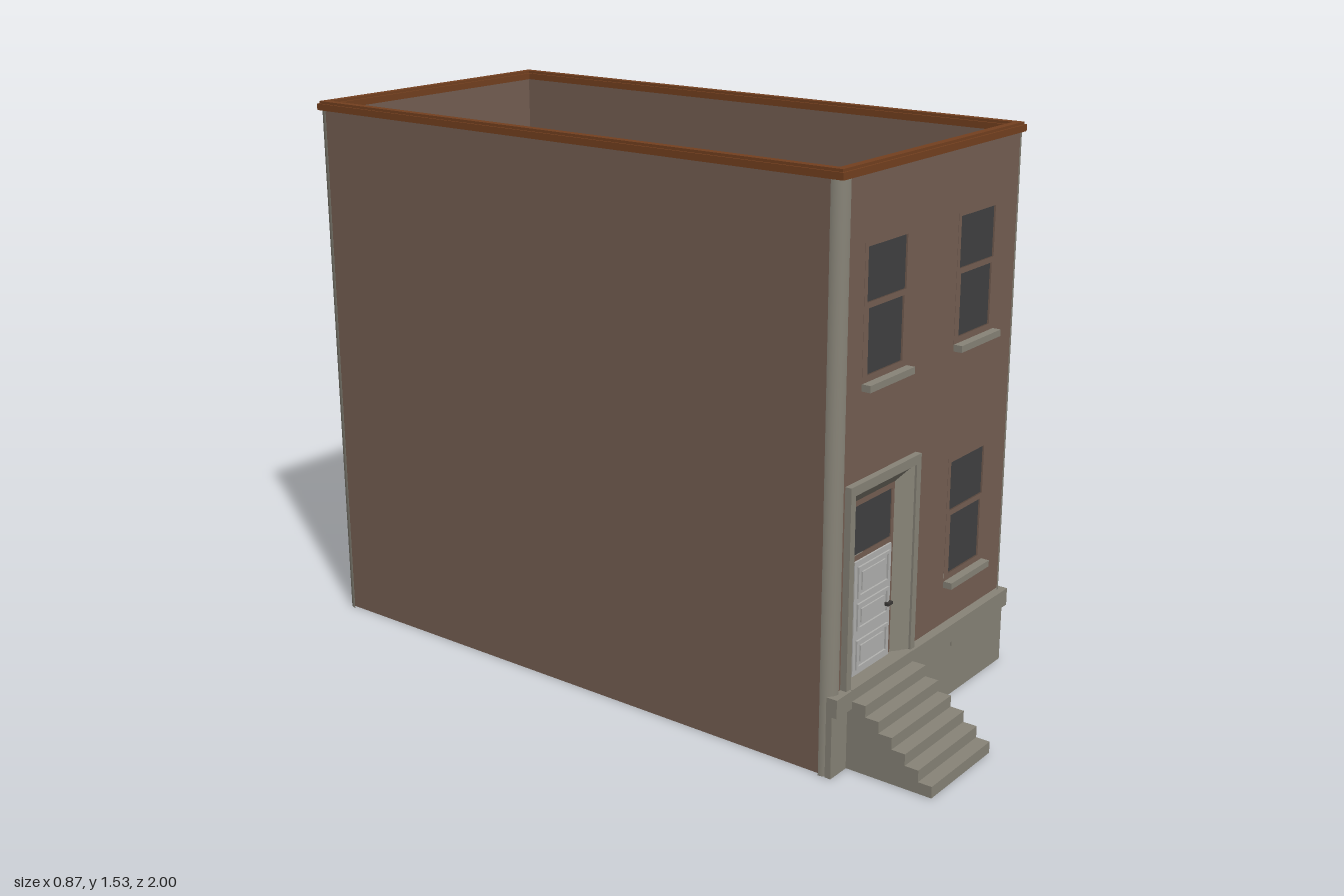
import * as THREE from 'three';

const mat = (name, color, side = THREE.FrontSide) => {
  const m = new THREE.MeshStandardMaterial({ color, side });
  m.name = name;
  return m;
};

export function createModel() {
  const brick = mat('brown wall', 0x755f53, THREE.DoubleSide);
  const frameBrown = mat('window frame brown', 0x755f53);
  const stone = mat('grey stone', 0x888478, THREE.DoubleSide);
  const wood = mat('red brown trim', 0x74401f);
  const glass = mat('dark glass', 0x404142, THREE.DoubleSide);
  const doorGrey = mat('light grey door', 0xb2b2b0);
  const metal = mat('dark metal', 0x3a3836);

  const house = new THREE.Group();
  house.name = 'townhouse';
  const F = 0.74, B = -0.99, W = 0.427, H = 1.515, BASE = 0.22;
  const depth = F - B, midZ = (F + B) / 2;

  const add = (name, geometry, material, x = 0, y = 0, z = 0) => {
    const m = new THREE.Mesh(geometry, material);
    m.name = name;
    m.position.set(x, y, z);
    house.add(m);
    return m;
  };
  const rect = (Type, x0, y0, x1, y1) => {
    const s = new Type();
    s.moveTo(x0, y0);
    s.lineTo(x1, y0);
    s.lineTo(x1, y1);
    s.lineTo(x0, y1);
    s.closePath();
    return s;
  };
  // box given by its min and max corners
  const block = (name, material, x0, y0, z0, x1, y1, z1) =>
    add(name, new THREE.BoxGeometry(x1 - x0, y1 - y0, z1 - z0), material,
      (x0 + x1) / 2, (y0 + y1) / 2, (z0 + z1) / 2);

  // window centres and sill heights
  const windows = [[-0.22, 0.98], [0.216, 0.98], [0.216, 0.325]];
  const doorX = -0.218;

  // front wall with window and door openings
  const front = rect(THREE.Shape, -W, BASE - 0.01, W, H);
  for (const [x, y] of windows)
    front.holes.push(rect(THREE.Path, x - 0.1, y + 0.015, x + 0.1, y + 0.362));
  front.holes.push(rect(THREE.Path, doorX - 0.142, BASE, doorX + 0.142, 0.73));
  add('frontWall', new THREE.ShapeGeometry(front), brick, 0, 0, F);

  // plain back and side walls, raised floor
  add('backWall', new THREE.PlaneGeometry(W * 2, H), brick, 0, H / 2, B).rotation.y = Math.PI;
  for (const s of [-1, 1])
    add('sideWall', new THREE.PlaneGeometry(depth, H), brick, s * W, H / 2, midZ).rotation.y = s * Math.PI / 2;
  add('floor', new THREE.PlaneGeometry(W * 2, depth), stone, 0, BASE - 0.004, midZ).rotation.x = -Math.PI / 2;

  // rounded corner posts
  const corners = [[1, 1, 0], [1, -1, 1], [-1, -1, 2], [-1, 1, 3]];
  for (const [sx, sz, q] of corners) {
    const g = new THREE.CylinderGeometry(0.034, 0.034, H, 8, 1, true, q * Math.PI / 2, Math.PI / 2);
    add('cornerPost', g, stone, sx * 0.403, H / 2, sz > 0 ? F - 0.024 : B + 0.024);
  }

  // roof edge trim: two stacked rings
  const ring = (name, out, width, y, h) => {
    const s = rect(THREE.Shape, -W - out, -depth / 2 - out, W + out, depth / 2 + out);
    const i = out - width;
    s.holes.push(rect(THREE.Path, -W - i, -depth / 2 - i, W + i, depth / 2 + i));
    const g = new THREE.ExtrudeGeometry(s, { depth: h, bevelEnabled: false });
    g.rotateX(-Math.PI / 2);
    add(name, g, wood, 0, y, midZ);
  };
  ring('roofTrimLower', 0.01, 0.034, 1.505, 0.018);
  ring('roofTrimUpper', 0.005, 0.022, 1.523, 0.007);

  // foundation with projecting ledge
  block('foundation', stone, -0.435, 0, F - 0.005, 0.435, 0.17, 0.752);
  block('foundationLedge', stone, -0.435, 0.17, F - 0.005, 0.435, BASE, 0.766);
  block('foundationVent', stone, 0.145, 0.148, 0.75, 0.185, 0.162, 0.757);

  // windows: frame, two panes and a sill
  for (const [x, y] of windows) {
    const panes = [[0.088, 0.215, 0.35], [0.08, 0.035, 0.2]];
    const frame = rect(THREE.Shape, x - 0.102, y + 0.01, x + 0.102, y + 0.365);
    for (const [hw, y0, y1] of panes) {
      frame.holes.push(rect(THREE.Path, x - hw, y + y0, x + hw, y + y1));
      add('windowPane', new THREE.PlaneGeometry(hw * 2, y1 - y0), glass, x, y + (y0 + y1) / 2, F - 0.003);
    }
    add('windowFrame', new THREE.ShapeGeometry(frame), frameBrown, 0, 0, F + 0.002);
    block('windowSill', stone, x - 0.102, y, F + 0.001, x + 0.102, y + 0.018, 0.766);
  }

  // door surround, open at the bottom
  const surround = new THREE.Shape();
  [[-0.163, BASE], [-0.142, BASE], [-0.142, 0.73], [0.142, 0.73], [0.142, BASE],
    [0.163, BASE], [0.163, 0.755], [-0.163, 0.755]].forEach(([x, y], i) =>
    i ? surround.lineTo(x, y) : surround.moveTo(x, y));
  add('doorSurround', new THREE.ExtrudeGeometry(surround, { depth: 0.018, bevelEnabled: false }), stone, doorX, 0, F);

  // splayed jambs leading in to the recessed door
  const outer = [[-0.142, BASE], [-0.142, 0.73], [0.142, 0.73], [0.142, BASE]];
  const inner = [[-0.1, BASE], [-0.1, 0.69], [0.1, 0.69], [0.1, BASE]];
  const pos = [];
  for (let i = 0; i < 3; i++) {
    const a = [...outer[i], 0.012], b = [...outer[i + 1], 0.012];
    const c = [...inner[i + 1], -0.02], d = [...inner[i], -0.02];
    pos.push(...a, ...b, ...c, ...a, ...c, ...d);
  }
  const jamb = new THREE.BufferGeometry();
  jamb.setAttribute('position', new THREE.Float32BufferAttribute(pos, 3));
  jamb.computeVertexNormals();
  add('doorJambs', jamb, stone, doorX, 0, F);

  // transom window above the door
  const zDoor = F - 0.02;
  const transom = rect(THREE.Shape, -0.1, BASE, 0.1, 0.69);
  transom.holes.push(rect(THREE.Path, -0.088, 0.545, 0.088, 0.675));
  add('doorFrame', new THREE.ShapeGeometry(transom), frameBrown, doorX, 0, zDoor);
  add('transomPane', new THREE.PlaneGeometry(0.176, 0.13), glass, doorX, 0.61, zDoor - 0.003);

  // door leaf with three panels, each a raised field inside a rim
  block('door', doorGrey, doorX - 0.085, BASE, zDoor - 0.015, doorX + 0.085, 0.53, zDoor + 0.005);
  for (const [y0, y1] of [[0.235, 0.315], [0.342, 0.415], [0.43, 0.515]]) {
    const rim = rect(THREE.Shape, -0.073, y0, 0.073, y1);
    rim.holes.push(rect(THREE.Path, -0.065, y0 + 0.008, 0.065, y1 - 0.008));
    add('doorPanelRim', new THREE.ExtrudeGeometry(rim, { depth: 0.005, bevelEnabled: false }), doorGrey, doorX, 0, zDoor + 0.005);
    block('doorPanel', doorGrey, doorX - 0.054, y0 + 0.018, zDoor + 0.005, doorX + 0.054, y1 - 0.018, zDoor + 0.009);
  }
  block('doorHandle', metal, doorX + 0.058, 0.366, zDoor + 0.005, doorX + 0.08, 0.374, zDoor + 0.018);

  // front steps: stair profile swept across their width
  const n = 7, rise = BASE / n, run = 0.039;
  const stair = new THREE.Shape();
  stair.moveTo(F, 0);
  stair.lineTo(1, 0);
  for (let i = 0; i < n; i++) {
    stair.lineTo(1 - run * i, rise * (i + 1));
    stair.lineTo(i < n - 1 ? 1 - run * (i + 1) : F, rise * (i + 1));
  }
  const steps = new THREE.ExtrudeGeometry(stair, { depth: 0.29, bevelEnabled: false });
  steps.rotateY(-Math.PI / 2);
  add('frontSteps', steps, stone, -0.075, 0.001, 0);

  return house;
}
